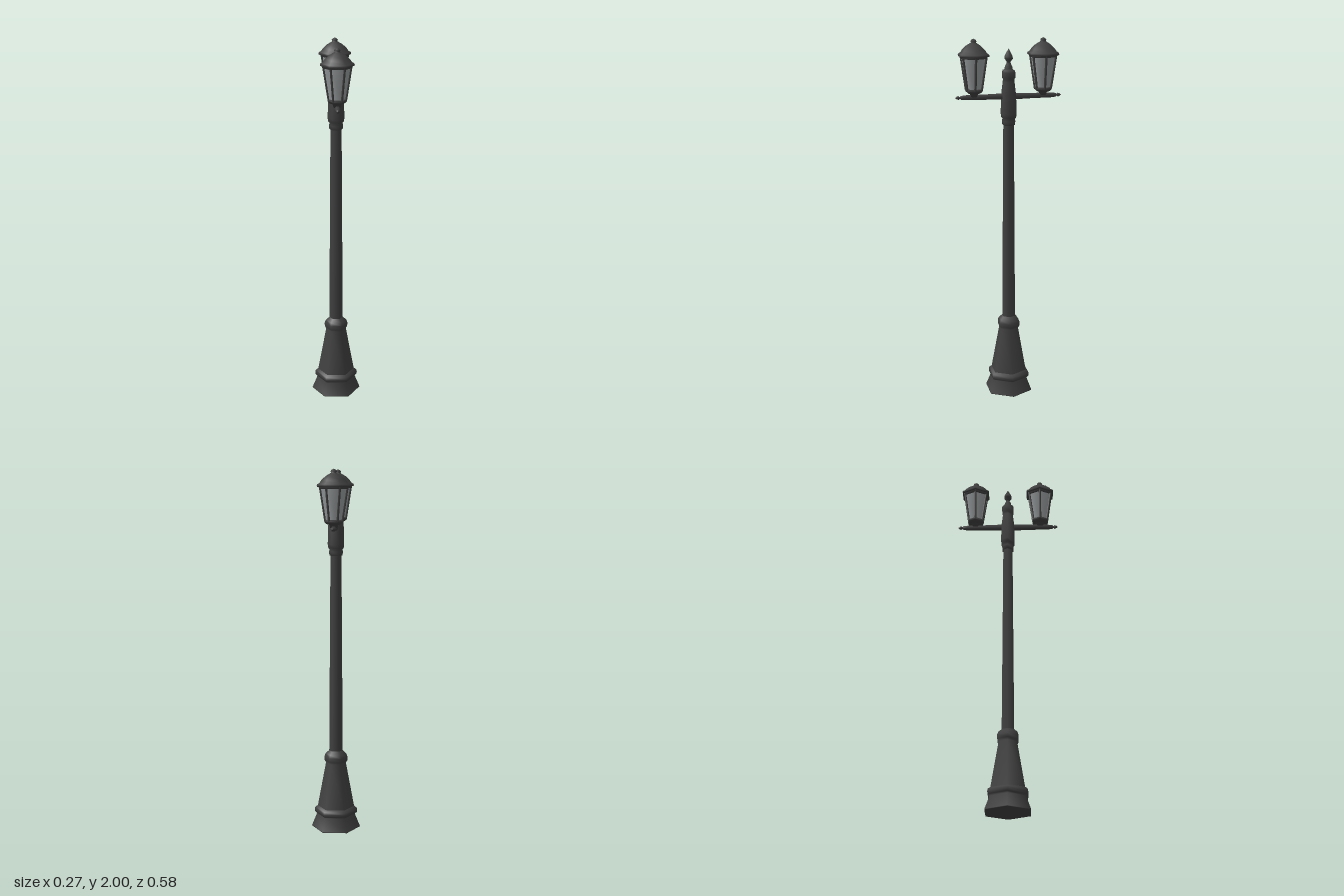
import * as THREE from 'three';

const iron = new THREE.MeshStandardMaterial({ color: 0x404040 });
iron.name = 'dark iron';
const glass = new THREE.MeshStandardMaterial({ color: 0x989c9e });
glass.name = 'frosted glass';

// Six-sided turned part with corners on the x axis; profile runs bottom to top as [radius, y]
function turned(name, profile, material = iron) {
  const points = profile.map(([r, y]) => new THREE.Vector2(r, y));
  const mesh = new THREE.Mesh(new THREE.LatheGeometry(points, 6, Math.PI / 2), material);
  mesh.name = name;
  return mesh;
}

// Straight bar between two points
function bar(name, a, b, radius) {
  const dir = b.clone().sub(a);
  const mesh = new THREE.Mesh(new THREE.CylinderGeometry(radius, radius, dir.length(), 6), iron);
  mesh.position.copy(a).add(b).multiplyScalar(0.5);
  mesh.quaternion.setFromUnitVectors(new THREE.Vector3(0, 1, 0), dir.normalize());
  mesh.name = name;
  return mesh;
}

function createLantern() {
  const lantern = new THREE.Group();
  lantern.name = 'lantern';
  // Cup that joins the lantern to its arm
  lantern.add(turned('lanternCup', [
    [0, 1.695], [0.02, 1.695], [0.022, 1.71], [0.036, 1.715], [0.048, 1.724],
    [0.05, 1.732], [0.046, 1.738], [0, 1.738],
  ]));
  lantern.add(turned('lanternGlass', [[0.043, 1.734], [0.071, 1.915]], glass));
  // Frame: corner posts and the rail under the roof
  for (let i = 0; i < 6; i++) {
    const a = (i * Math.PI) / 3;
    const at = (r, y) => new THREE.Vector3(r * Math.cos(a), y, r * Math.sin(a));
    lantern.add(bar('lanternPost', at(0.044, 1.73), at(0.073, 1.915), 0.0065));
  }
  lantern.add(turned('lanternRail', [[0.069, 1.897], [0.077, 1.898], [0.079, 1.912]]));
  // Roof with its small knob
  lantern.add(turned('lanternRoof', [
    [0, 1.908], [0.086, 1.908], [0.089, 1.913], [0.086, 1.921], [0.074, 1.928],
    [0.064, 1.943], [0.042, 1.963], [0.02, 1.976], [0.014, 1.98], [0.017, 1.987],
    [0.012, 1.994], [0, 2],
  ]));
  return lantern;
}

export function createModel() {
  const model = new THREE.Group();
  model.name = 'streetLamp';

  // Flared foot, collar and tapering pedestal
  model.add(turned('foot', [
    [0, 0], [0.136, 0], [0.136, 0.004], [0.107, 0.076], [0.118, 0.084],
    [0.121, 0.098], [0.117, 0.112], [0.103, 0.122],
  ]));
  model.add(turned('pedestal', [
    [0.103, 0.12], [0.056, 0.375], [0.064, 0.388], [0.065, 0.41],
    [0.058, 0.428], [0.042, 0.442], [0.038, 0.446],
  ]));

  // Long shaft
  model.add(turned('shaft', [[0.038, 0.43], [0.03, 1.55]]));

  // Head that carries the arms, then the pointed finial
  model.add(turned('head', [
    [0.028, 1.535], [0.036, 1.54], [0.038, 1.56], [0.035, 1.572], [0.042, 1.58],
    [0.045, 1.6], [0.042, 1.7], [0.033, 1.77], [0.032, 1.785], [0.038, 1.792],
    [0.038, 1.82], [0.033, 1.832], [0.02, 1.838],
  ]));
  model.add(turned('finial', [
    [0.024, 1.83], [0.021, 1.85], [0.012, 1.868], [0.011, 1.876], [0.024, 1.893],
    [0.022, 1.905], [0.009, 1.93], [0, 1.945],
  ]));

  // Matching arms and lanterns on both sides
  for (const side of [1, -1]) {
    const arm = turned('arm', [
      [0.017, 0], [0.017, 0.06], [0.015, 0.13], [0.014, 0.23], [0.011, 0.258],
      [0.005, 0.264], [0.011, 0.272], [0.008, 0.28], [0, 0.29],
    ]);
    arm.rotation.x = (side * Math.PI) / 2;
    arm.position.y = 1.692;
    model.add(arm);

    const lantern = createLantern();
    lantern.position.z = side * 0.188;
    model.add(lantern);
  }
  return model;
}
